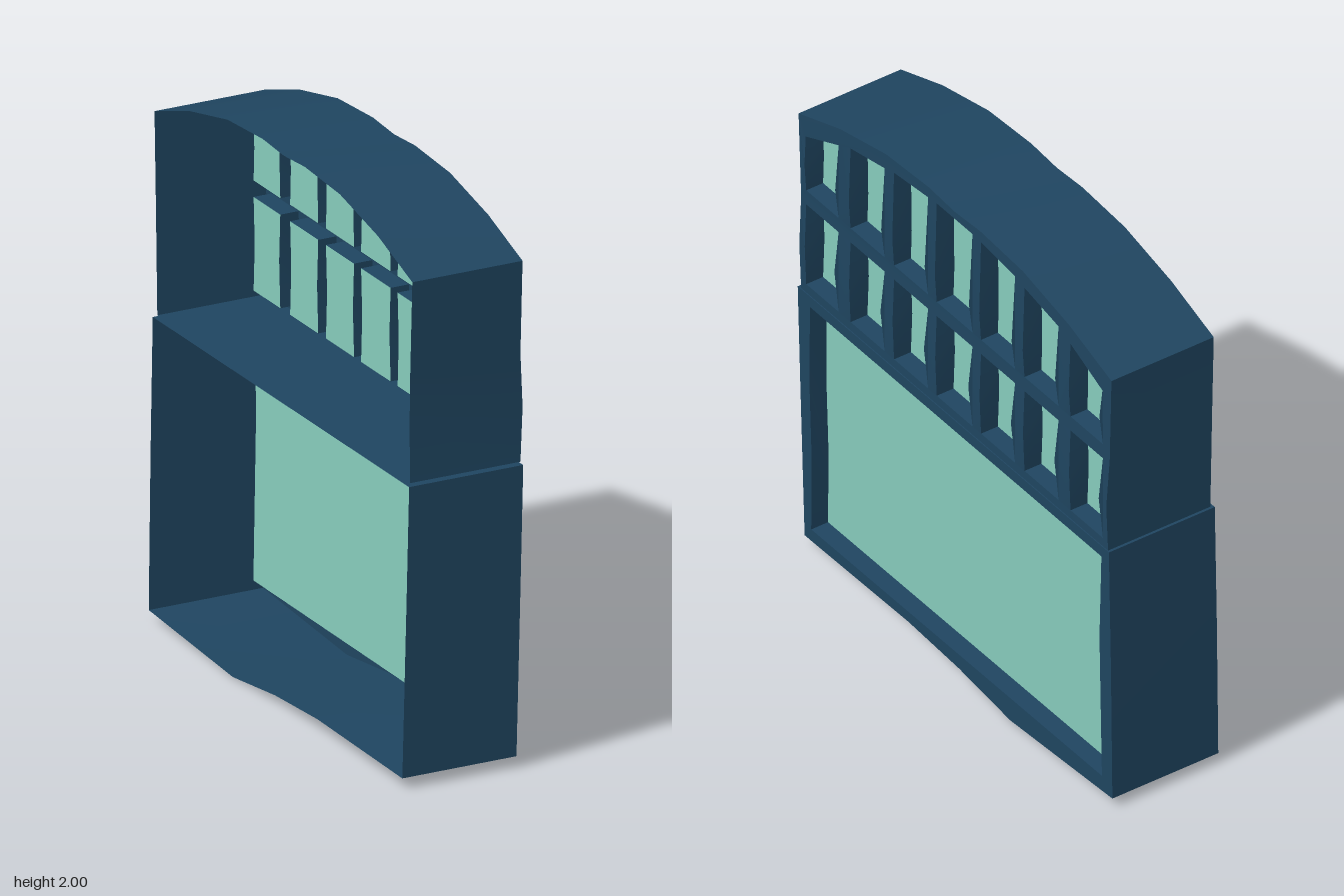
import * as THREE from 'three';
import { toCreasedNormals } from 'three/addons/utils/BufferGeometryUtils.js';

const frameMat = new THREE.MeshStandardMaterial({ color: 0x1f4560, side: THREE.DoubleSide });
const glassMat = new THREE.MeshStandardMaterial({ color: 0x86cbbb, side: THREE.DoubleSide });

const FRONT = 0.22; // x of the window face
const GLASS = 0.15; // x of the recessed panes

// Outlines are lists of [z, y]; a shape's own x runs along -z.
const toPath = (pts, Type) => new Type(pts.map(([z, y]) => new THREE.Vector2(-z, y)));

// Flat face in the z/y plane at a given x, with optional holes
function face(outline, holes, x) {
  const shape = toPath(outline, THREE.Shape);
  shape.holes = holes.map((h) => toPath(h, THREE.Path));
  return new THREE.ShapeGeometry(shape).rotateY(Math.PI / 2).translate(x, 0, 0);
}

// Band of wall following a closed outline from x0 to x1
function band(outline, x0, x1) {
  const pos = [];
  outline.forEach(([z, y], i) => {
    const [z2, y2] = outline[(i + 1) % outline.length];
    pos.push(x1, y, z, x0, y, z, x0, y2, z2, x1, y, z, x0, y2, z2, x1, y2, z2);
  });
  const g = new THREE.BufferGeometry();
  g.setAttribute('position', new THREE.Float32BufferAttribute(pos, 3));
  g.computeVertexNormals();
  return g;
}

// Open-backed box: shell walls, pierced face, reveals and panes
function windowBox(name, outline, holes, back, warp) {
  const group = new THREE.Group();
  group.name = name;
  const add = (part, geometry, material) => {
    const p = geometry.attributes.position;
    for (let i = 0; i < p.count; i++) p.setX(i, warp(p.getX(i), p.getY(i)));
    geometry.computeVertexNormals();
    const mesh = new THREE.Mesh(toCreasedNormals(geometry, 0.5), material);
    mesh.name = part;
    group.add(mesh);
  };
  add('shell', band(outline, back, FRONT), frameMat);
  add('frame', face(outline, holes, FRONT), frameMat);
  for (const h of holes) {
    add('reveal', band(h, GLASS, FRONT), frameMat);
    add('pane', face(h, [], GLASS), glassMat);
  }
  return group;
}

export function createModel() {
  const model = new THREE.Group();
  model.name = 'archedWindow';

  // Lower box with one large pane; leans slightly towards the back at its foot
  const lower = [
    [0.92, 1.1], [0.915, 0.7], [0.905, 0.04], [0.3, 0.05], [0, 0.035],
    [-0.3, 0], [-0.9, 0.04], [-0.905, 0.6], [-0.905, 1.1],
  ];
  const bigPane = [
    [0.85, 1.055], [0.86, 0.7], [0.855, 0.4], [0.865, 0.09],
    [-0.84, 0.1], [-0.84, 0.7], [-0.86, 1.055],
  ];
  model.add(windowBox('lowerWindow', lower, [bigPane], -0.22,
    (x, y) => x - 0.017 * (1.1 - y)));

  // Upper box with an arched top
  const upper = [
    [0.9, 1.105], [0.895, 1.3], [0.9, 1.5], [0.915, 1.84], [0.67, 1.925],
    [0.4, 1.985], [0.15, 2], [0, 1.99], [-0.15, 2], [-0.4, 1.985],
    [-0.67, 1.925], [-0.92, 1.84], [-0.91, 1.5], [-0.905, 1.3], [-0.9, 1.105],
  ];

  // Two rows of seven panes: outer z, inner z, top y at each side
  const half = [
    [0.87, 0.68, 1.77, 1.85], [0.61, 0.41, 1.88, 1.92], [0.355, 0.155, 1.935, 1.955],
  ];
  const bays = [
    ...half,
    [0.105, -0.105, 1.96, 1.96],
    ...half.map(([a, b, ya, yb]) => [-b, -a, yb, ya]),
  ];
  const panes = [];
  for (const [a, b, ya, yb] of bays) {
    panes.push([[a, 1.14], [a - 0.008, 1.31], [a, 1.48], [b, 1.48], [b + 0.008, 1.31], [b, 1.14]]);
    panes.push([[a, 1.54], [a - 0.005, 1.66], [a, ya], [b, yb], [b + 0.005, 1.66], [b, 1.54]]);
  }
  // Glazing bars bulge gently at the middle of each row
  const bulge = (y) => Math.max(0, 1 - Math.min(Math.abs(y - 1.31), Math.abs(y - 1.67)) / 0.12);
  model.add(windowBox('upperWindow', upper, panes, -0.205,
    (x, y) => (x > 0.2 ? x + 0.012 * bulge(y) : x)));

  return model;
}
